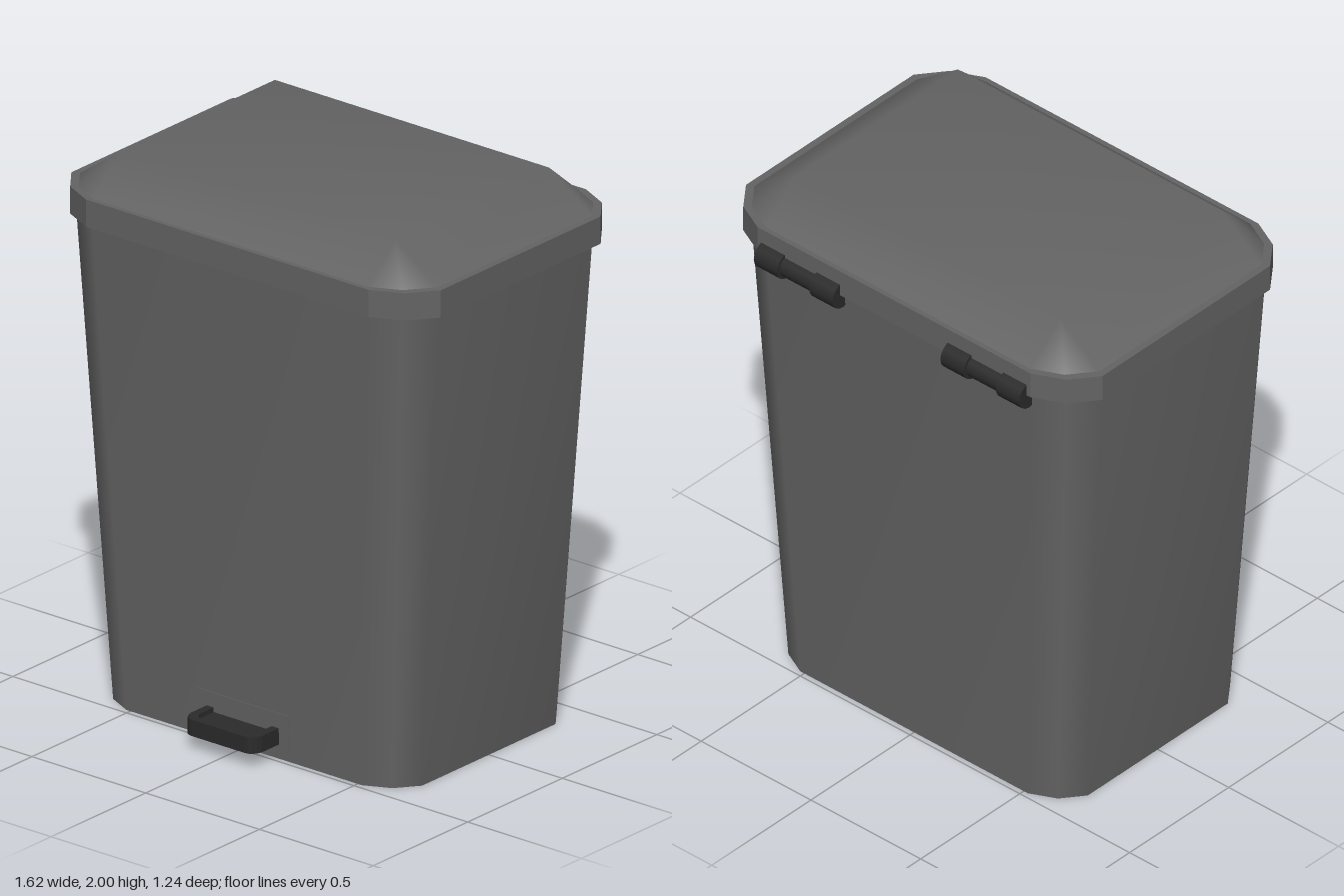
import * as THREE from 'three';
import { mergeVertices } from 'three/addons/utils/BufferGeometryUtils.js';

// Rectangle with two-segment corners, running from +x towards +z
function outline(hx, hz, y, zOff = 0) {
  const q = [[1, 0.735], [0.907, 0.904], [0.765, 1]];
  const r = [...q].reverse();
  return [
    ...q.map(([x, z]) => [x, z]),
    ...r.map(([x, z]) => [-x, z]),
    ...q.map(([x, z]) => [-x, -z]),
    ...r.map(([x, z]) => [x, -z]),
  ].map(([x, z]) => new THREE.Vector3(x * hx, y, z * hz + zOff));
}

// Skin a stack of rings, with optional end caps
function loft(rings, { bottom = false, top = false, smooth = false } = {}) {
  const pos = [];
  const tri = (a, b, c) => {
    const area = b.clone().sub(a).cross(c.clone().sub(a)).length();
    if (area > 1e-7) for (const p of [a, b, c]) pos.push(p.x, p.y, p.z);
  };
  const n = rings[0].length;
  for (let k = 0; k < rings.length - 1; k++) {
    const lo = rings[k], hi = rings[k + 1];
    for (let i = 0; i < n; i++) {
      const j = (i + 1) % n;
      tri(lo[i], hi[i], lo[j]);
      tri(lo[j], hi[i], hi[j]);
    }
  }
  const first = rings[0], last = rings[rings.length - 1];
  for (let i = 1; i < n - 1; i++) {
    if (bottom) tri(first[0], first[i], first[i + 1]);
    if (top) tri(last[0], last[i + 1], last[i]);
  }
  let geo = new THREE.BufferGeometry();
  geo.setAttribute('position', new THREE.Float32BufferAttribute(pos, 3));
  if (smooth) geo = mergeVertices(geo, 1e-4);
  geo.computeVertexNormals();
  return geo;
}

export function createModel() {
  const model = new THREE.Group();
  model.name = 'pedalBin';
  const grey = new THREE.MeshStandardMaterial({ color: 0x646464 });
  grey.name = 'grey plastic';
  const black = new THREE.MeshStandardMaterial({ color: 0x2b2b2b });
  black.name = 'black plastic';

  const add = (name, geo, mat, parent = model) => {
    const mesh = new THREE.Mesh(geo, mat);
    mesh.name = name;
    parent.add(mesh);
    return mesh;
  };

  // Tapered bin body and its flat base
  const base = outline(0.677, 0.48, 0);
  add('body', loft([base, outline(0.79, 0.557, 1.77), outline(0.793, 0.559, 1.8)], { smooth: true }), grey);
  add('base', loft([base], { bottom: true }), grey);

  // Lid: straight rim with a narrow ledge, then a domed top
  const lid = new THREE.Group();
  lid.name = 'lid';
  model.add(lid);
  const zOff = -0.006;
  const ledge = outline(0.786, 0.556, 1.87, zOff);
  add('lidRim', loft([
    outline(0.812, 0.575, 1.77, zOff),
    outline(0.812, 0.575, 1.87, zOff),
    ledge,
  ], { bottom: true }), grey, lid);
  const crown = ledge.map((p) => new THREE.Vector3(Math.sign(p.x) * 0.603, 2, Math.sign(p.z) * 0.408));
  add('lidTop', loft([ledge, crown], { top: true, smooth: true }), grey, lid);

  // Plate around the pedal slot, leaning with the front wall
  const frame = add('pedalPlate', new THREE.BoxGeometry(0.4, 0.14, 0.008), grey);
  frame.position.set(0, 0.1, 0.4825);
  frame.rotation.x = 0.0435;

  // Foot pedal: rounded frame with a sunken tread
  const pedal = new THREE.Group();
  pedal.name = 'pedal';
  model.add(pedal);
  const slab = (shape, height, topY) => {
    const g = new THREE.ExtrudeGeometry(shape, { depth: height, bevelEnabled: false, curveSegments: 4 });
    g.rotateX(Math.PI / 2);
    g.translate(0, topY, 0);
    return g;
  };
  const pedalShape = (w, back, front, c) => {
    const s = new THREE.Shape();
    s.moveTo(-w, back);
    s.lineTo(w, back);
    s.lineTo(w, front - c);
    s.quadraticCurveTo(w - 0.01, front, w - c, front);
    s.lineTo(-w + c, front);
    s.quadraticCurveTo(-w + 0.01, front, -w, front - c);
    s.closePath();
    return s;
  };
  const outer = pedalShape(0.158, 0.46, 0.617, 0.042);
  outer.holes.push(pedalShape(0.128, 0.47, 0.588, 0.03));
  add('pedalFrame', slab(outer, 0.06, 0.115), black, pedal);
  add('pedalTread', slab(pedalShape(0.132, 0.465, 0.592, 0.03), 0.025, 0.098), black, pedal);

  // Two hinges across the back: thick knuckles and a thinner pin
  for (const side of [-1, 1]) {
    const hinge = new THREE.Group();
    hinge.name = side > 0 ? 'leftHinge' : 'rightHinge';
    hinge.position.set(side * 0.425, 1.764, -0.567);
    model.add(hinge);
    const barrel = (name, r, len, x) => {
      const g = new THREE.CylinderGeometry(r, r, len, 16);
      g.rotateZ(Math.PI / 2);
      add(name, g, black, hinge).position.x = x;
    };
    barrel('outerKnuckle', 0.052, 0.107, side * 0.126);
    barrel('innerKnuckle', 0.052, 0.107, -side * 0.126);
    barrel('hingePin', 0.041, 0.15, 0);
  }
  return model;
}
